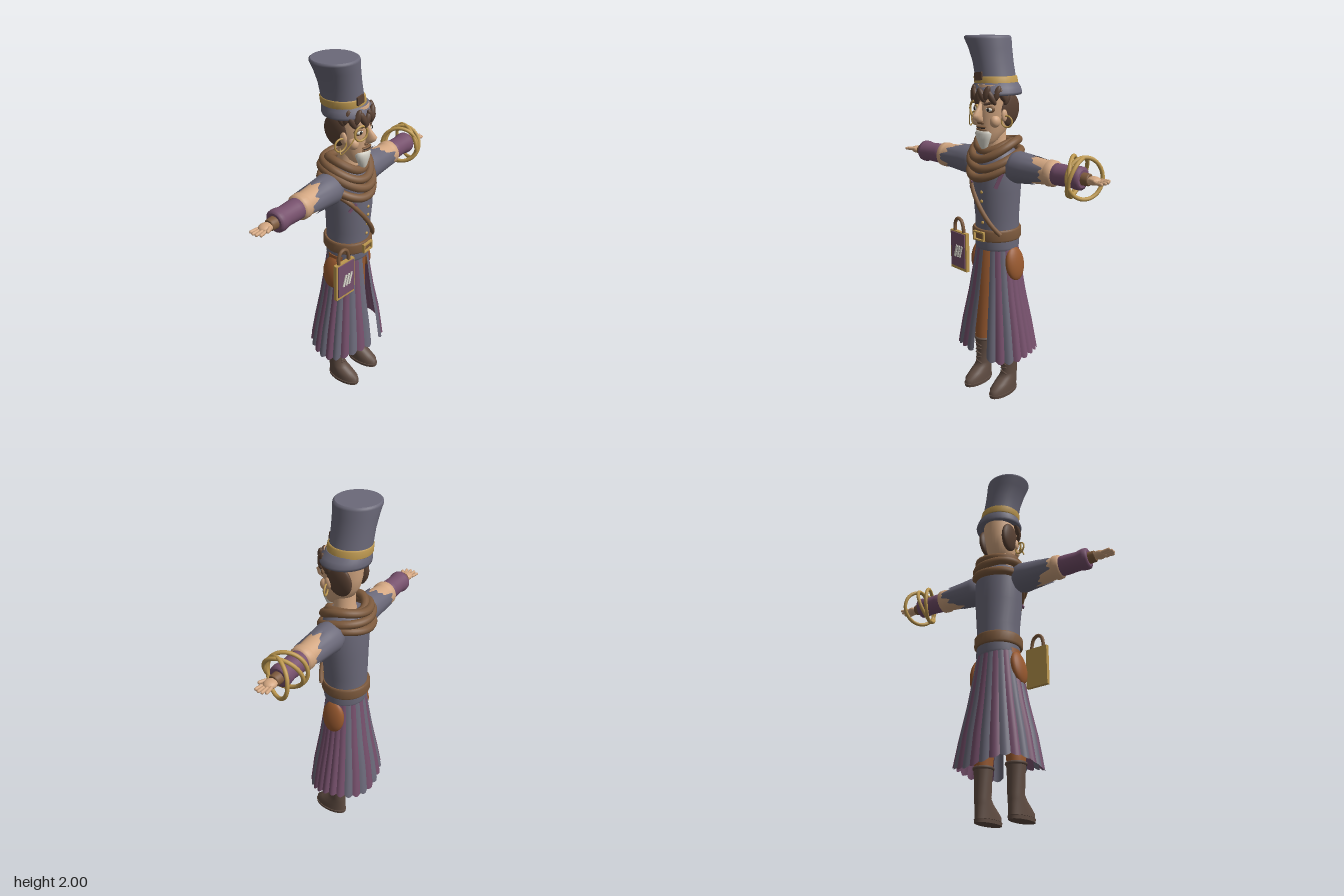
import * as THREE from 'three';

const mat = (name, color, side = THREE.FrontSide) => {
  const m = new THREE.MeshStandardMaterial({ color, side });
  m.name = name;
  return m;
};

// Smooth solid through elliptical rings [y, cx, cz, rx, rz]; y may be a function of the angle
function loft(rings, seg = 32, caps = true) {
  const pos = [], idx = [];
  const addRing = ([y, cx, cz, rx, rz]) => {
    const start = pos.length / 3;
    for (let j = 0; j < seg; j++) {
      const a = (j / seg) * Math.PI * 2;
      pos.push(cx + rx * Math.cos(a), typeof y === 'function' ? y(a) : y, cz + rz * Math.sin(a));
    }
    return start;
  };
  rings.forEach((r, i) => {
    const s = addRing(r);
    if (!i) return;
    for (let j = 0; j < seg; j++) {
      const k = (j + 1) % seg, p = s - seg;
      idx.push(p + j, s + j, p + k, p + k, s + j, s + k);
    }
  });
  if (caps) [rings[0], rings[rings.length - 1]].forEach((r, top) => {
    const s = addRing(r), c = pos.length / 3;
    pos.push(r[1], r[0], r[2]);
    for (let j = 0; j < seg; j++) {
      const k = (j + 1) % seg;
      if (top) idx.push(c, s + k, s + j); else idx.push(c, s + j, s + k);
    }
  });
  const g = new THREE.BufferGeometry();
  g.setAttribute('position', new THREE.Float32BufferAttribute(pos, 3));
  g.setIndex(idx);
  g.computeVertexNormals();
  return g;
}
const round = (list) => list.map(([y, r]) => [y, 0, 0, r, r]);
const tube = (pts, r, closed = false, n = 48) =>
  new THREE.TubeGeometry(new THREE.CatmullRomCurve3(pts.map((p) => new THREE.Vector3(...p)), closed), n, r, 10, closed);

export function createModel() {
  const grey = mat('slateCloth', 0x6b6979, THREE.DoubleSide);
  const purple = mat('plumCloth', 0x76506c, THREE.DoubleSide);
  const skin = mat('skin', 0xd2a681);
  const bootBrown = mat('bootLeather', 0x5f4c42);
  const rust = mat('rustCloth', 0x98592f);
  const leather = mat('tanLeather', 0x7d5a3d);
  const gold = mat('brass', 0xbd984f);
  const ivory = mat('ivory', 0xdedbd0);
  const hair = mat('hair', 0x5a4234);
  const dark = mat('dark', 0x2b2422);

  const model = new THREE.Group();
  const add = (name, geo, material, p = [0, 0, 0], rot = [0, 0, 0], sc = [1, 1, 1], parent = model) => {
    const m = new THREE.Mesh(geo, material);
    m.name = name;
    m.position.set(...p);
    m.rotation.set(...rot);
    m.scale.set(...sc);
    parent.add(m);
    return m;
  };
  const ball = new THREE.SphereGeometry(1, 24, 16);
  const box = new THREE.BoxGeometry(1, 1, 1);

  // Legs and laced boots
  for (const s of [-1, 1]) {
    const x = s * 0.098;
    add('trouserLeg', loft([[0.26, x, 0, 0.046, 0.05], [0.32, x, 0, 0.052, 0.055], [0.6, s * 0.075, 0, 0.058, 0.062],
      [0.9, s * 0.06, 0, 0.06, 0.075]], 20), rust);
    add('bootSole', loft([[0, x, 0.05, 0.05, 0.105], [0.018, x, 0.05, 0.052, 0.108]]), bootBrown);
    add('boot', loft([[0.02, x, 0.05, 0.049, 0.104], [0.045, x, 0.048, 0.049, 0.102], [0.07, x, 0.03, 0.047, 0.083],
      [0.095, x, 0.01, 0.044, 0.062], [0.12, x, -0.003, 0.042, 0.05], [0.2, x, -0.002, 0.045, 0.048],
      [0.275, x, 0, 0.051, 0.052]]), bootBrown);
    add('bootCuff', new THREE.TorusGeometry(0.049, 0.009, 10, 32), bootBrown, [x, 0.275, 0], [Math.PI / 2, 0, 0]);
    for (let i = 0; i < 5; i++)
      add('bootLace', new THREE.CapsuleGeometry(0.005, 0.035, 4, 8), bootBrown, [x, 0.125 + i * 0.028, 0.047], [0, 0, Math.PI / 2 + (i % 2 ? 0.25 : -0.25)]);
  }

  // Pleated skirt, open at the front over the left leg
  const profile = [[0.9, 0.118, 0.106], [0.75, 0.143, 0.124], [0.6, 0.17, 0.143], [0.42, 0.21, 0.172], [0.27, 0.238, 0.19]];
  const panels = 25, step = (338 / panels) * Math.PI / 180, a0 = 93 * Math.PI / 180;
  for (let i = 0; i < panels; i++) {
    const pos = [], idx = [], n = 6;
    profile.forEach(([y, rx, rz], r) => {
      for (let j = 0; j <= n; j++) {
        const a = a0 + (i + j / n) * step;
        const k = 1 + 0.05 * Math.sin((j / n) * Math.PI) * (r + 1) / 5;
        const hem = r === 4 ? 0.022 * Math.cos(3 * a + 0.6) - 0.012 * Math.sin((j / n) * Math.PI) : 0;
        pos.push(0.006 + rx * k * Math.cos(a), y + hem, -0.003 + rz * k * Math.sin(a));
        if (r && j < n) {
          const q = r * (n + 1) + j, p = q - n - 1;
          idx.push(q, p, q + 1, q + 1, p, p + 1);
        }
      }
    });
    const g = new THREE.BufferGeometry();
    g.setAttribute('position', new THREE.Float32BufferAttribute(pos, 3));
    g.setIndex(idx);
    g.computeVertexNormals();
    const mid = a0 + (i + 0.5) * step;
    add('skirtPleat', g, i % 2 || Math.cos(mid) > 0.93 ? purple : grey);
  }
  for (const s of [-1, 1])
    add('hipPatch', ball, rust, [0.006 + s * 0.128, 0.79, -0.003], [0, 0, s * 0.16], [0.034, 0.098, 0.068]);

  // Torso, belt and waistcoat details
  add('torso', loft([[0.87, 0.008, 0, 0.118, 0.113], [0.885, 0.008, 0, 0.125, 0.12], [0.93, 0.008, 0, 0.12, 0.118], [1.05, 0.008, 0, 0.12, 0.122],
    [1.2, 0.008, 0.005, 0.135, 0.127], [1.33, 0.005, 0, 0.14, 0.125], [1.4, 0, 0, 0.125, 0.112], [1.43, 0, 0, 0.08, 0.08]]), grey);
  add('belt', loft([[0.925, 0.006, 0, 0.128, 0.13], [0.935, 0.006, 0, 0.134, 0.137], [0.98, 0.006, 0, 0.134, 0.137], [0.99, 0.006, 0, 0.127, 0.13]]), leather);
  for (const y of [-1, 1]) add('buckleBar', box, gold, [0.0, 0.956 + y * 0.022, 0.141], [0, 0, 0], [0.075, 0.008, 0.014]);
  for (const x of [-1, 1]) add('buckleSide', box, gold, [x * 0.034, 0.956, 0.139], [0, 0, 0], [0.008, 0.05, 0.016]);
  for (const y of [1.03, 1.09, 1.15, 1.2]) add('button', ball, gold, [0.012, y, y > 1.1 ? 0.131 : 0.124], [0, 0, 0], [0.009, 0.009, 0.006]);
  const strap = [];
  for (let i = 0; i <= 10; i++) {
    const t = i / 10, x = -0.125 + 0.235 * t, y = 1.29 - 0.32 * t;
    strap.push([x, y, 0.005 + (0.133 - t * 0.005) * Math.sqrt(Math.max(0, 1 - ((x - 0.008) / 0.138) ** 2))]);
  }
  add('shoulderStrap', tube(strap, 0.013), leather);
  add('lapel', box, purple, [-0.088, 1.225, 0.104], [0, -0.62, -0.7], [0.014, 0.06, 0.009]);
  add('lapel', box, purple, [0.105, 1.27, 0.098], [0, 0.75, -0.4], [0.02, 0.09, 0.009]);

  // Coiled scarf, hanging lower at the front
  [[1.415, 1.445, 0.098, 0.095], [1.375, 1.45, 0.122, 0.122], [1.325, 1.41, 0.136, 0.134], [1.275, 1.355, 0.138, 0.137]].forEach(([front, back, rx, rz], n) => {
    const pts = [];
    for (let i = 0; i < 16; i++) {
      const a = (i / 16) * Math.PI * 2, s = Math.sin(a);
      const y = (front + back) / 2 + s * (front - back) / 2 + 0.035 * Math.cos(a) ** 2 + (n % 2 ? 0.012 : -0.008) * Math.cos(a);
      pts.push([-0.004 + rx * Math.cos(a), y, rz * s]);
    }
    add('scarfCoil', tube(pts, 0.023, true, 64), leather);
  });

  // Arms, built along +x and turned round for the other side
  for (const s of [-1, 1]) {
    const arm = new THREE.Group();
    arm.name = s > 0 ? 'leftArm' : 'rightArm';
    arm.position.y = 1.335;
    if (s < 0) arm.rotation.y = Math.PI;
    model.add(arm);
    const along = [0, 0, -Math.PI / 2], o = [0, 0, 0], one = [1, 1, 1];
    const jag = (a) => 0.305 - 0.05 * Math.cos(2 * a) + 0.014 * Math.sin(7 * a) + 0.012 * Math.sin(13 * a);
    add('bareArm', loft(round([[0.13, 0.07], [0.25, 0.071], [0.355, 0.062], [0.365, 0.069], [0.395, 0.067], [0.405, 0.05]])), skin, o, along, one, arm);
    add('tornSleeve', loft([...round([[0.11, 0.055], [0.125, 0.076], [0.16, 0.085], [0.22, 0.079]]), [jag, 0, 0, 0.073, 0.073]], 72, false), grey, o, along, one, arm);
    add('cuff', loft(round([[0.393, 0.045], [0.397, 0.055], [0.43, 0.056], [0.5, 0.053], [0.54, 0.06], [0.56, 0.058], [0.567, 0.045]])), purple, o, along, one, arm);
    add('wristBand', loft(round([[0.56, 0.033], [0.6, 0.031], [0.605, 0.026]])), leather, o, along, one, arm);
    add('palm', ball, skin, [0.627, 0, 0], o, [0.037, 0.022, 0.034], arm);
    for (let i = 0; i < 4; i++) {
      const z = (i - 1.5) * 0.018;
      add('finger', new THREE.CapsuleGeometry(0.0085, 0.05 - Math.abs(i - 1.5) * 0.008, 4, 10), skin, [0.678 - Math.abs(i - 1.5) * 0.004, 0.002 - i * 0.002, z * 1.1], [0, -(i - 1.5) * 0.1, -Math.PI / 2], one, arm);
    }
    add('thumb', new THREE.CapsuleGeometry(0.009, 0.035, 4, 10), skin, [0.64, 0.008, s * 0.034], [0, -s * 0.45, -Math.PI / 2], one, arm);
  }

  // Loose bangles on the left wrist
  [[0.502, 0.42, 0.0], [0.53, 0.2, -0.3], [0.575, -0.42, 0.15]].forEach(([x, turn, tilt]) =>
    add('bangle', new THREE.TorusGeometry(0.102, 0.0105, 10, 48), gold, [x, 1.338, 0], [0, Math.PI / 2 + turn, tilt, 'ZYX']));

  // Neck, head and face
  add('neck', loft([[1.39, 0, 0.005, 0.075, 0.07], [1.45, 0, 0.01, 0.062, 0.057], [1.54, 0, 0.015, 0.062, 0.06]]), skin);
  add('head', loft([[1.455, 0.002, 0.07, 0.03, 0.03], [1.475, 0.002, 0.06, 0.05, 0.055], [1.52, 0.003, 0.038, 0.07, 0.084], [1.57, 0.003, 0.024, 0.083, 0.1],
    [1.63, 0.003, 0.019, 0.091, 0.108], [1.7, 0.003, 0.015, 0.094, 0.11], [1.76, 0.003, 0.01, 0.09, 0.105]]), skin);
  add('nose', loft([[1.575, 0.003, 0.13, 0.014, 0.02], [1.59, 0.003, 0.143, 0.022, 0.028], [1.612, 0.003, 0.148, 0.018, 0.034],
    [1.64, 0.003, 0.128, 0.012, 0.024], [1.675, 0.003, 0.115, 0.009, 0.014]], 16), skin);
  add('moustache', new THREE.CapsuleGeometry(0.008, 0.03, 4, 10), leather, [0.003, 1.568, 0.126], [0, 0, Math.PI / 2]);
  for (const y of [1.533, 1.547]) add('lip', ball, leather, [0.003, y, 0.121], [0, 0, 0], [0.036, 0.006, 0.014]);
  add('mouth', ball, dark, [0.003, 1.54, 0.124], [0, 0, 0], [0.03, 0.003, 0.01]);
  add('beard', loft([[1.408, 0.004, 0.097, 0.003, 0.003], [1.44, 0.002, 0.1, 0.022, 0.02], [1.48, 0, 0.1, 0.043, 0.03], [1.51, 0, 0.098, 0.053, 0.036],
    [1.524, 0, 0.098, 0.045, 0.028]], 20), ivory);
  for (const s of [-1, 1]) {
    const x = 0.003 + s * 0.046;
    add('eyeSocket', ball, leather, [x, 1.638, 0.104], [0, s * 0.4, 0], [0.028, 0.02, 0.012]);
    add('eye', ball, ivory, [x, 1.637, 0.108], [0, s * 0.4, 0], [0.02, 0.012, 0.013]);
    add('pupil', ball, dark, [x, 1.637, 0.118], [0, 0, 0], [0.008, 0.009, 0.006]);
    add('eyebrow', new THREE.CapsuleGeometry(0.007, 0.04, 4, 8), hair, [x, 1.668, 0.115], [0, s * 0.4, Math.PI / 2 + s * 0.2]);
    add('cheek', ball, skin, [0.003 + s * 0.062, 1.575, 0.082], [0, 0, 0], [0.026, 0.032, 0.03]);
    add('sideHair', ball, hair, [0.003 + s * 0.078, 1.628, -0.013], [0, 0, -s * 0.08], [0.026, 0.086, 0.073]);
    add('ear', ball, skin, [0.003 + s * 0.093, 1.605, 0.045], [0, 0, 0], [0.012, 0.032, 0.02]);
    const r = s > 0 ? 0.029 : 0.034;
    add('earring', new THREE.TorusGeometry(r, 0.005, 8, 32), gold, [s * 0.113, 1.575, 0.045], [0, s * 0.3, 0]);
  }
  add('monocle', new THREE.TorusGeometry(0.038, 0.006, 8, 36), gold, [-0.046, 1.635, 0.122], [0, -0.3, 0]);
  add('monocleChain', tube([[-0.08, 1.625, 0.112], [-0.11, 1.57, 0.09], [-0.13, 1.535, 0.06], [-0.118, 1.56, 0.045]], 0.003), gold);

  // Curly fringe under the hat
  for (let i = 0; i < 12; i++) {
    const a = (10 + i * 14.5) * Math.PI / 180, low = i % 3 === 0 ? 0.02 : i % 2 ? 0.008 : 0;
    add('fringeCurl', ball, hair, [0.003 + 0.104 * Math.cos(a), 1.718 - low, 0.015 + 0.116 * Math.sin(a)],
      [0, Math.PI / 2 - a, (i % 2 ? 0.5 : -0.35)], [0.018, 0.042, 0.017]);
  }

  // Leaning top hat
  add('hatBrim', loft([[1.722, 0.004, 0, 0.108, 0.11], [1.708, 0.004, 0, 0.133, 0.128], [1.722, 0.003, 0, 0.137, 0.131], [1.745, 0, -0.005, 0.127, 0.124],
    [1.768, -0.008, -0.01, 0.112, 0.112]]), grey);
  add('hatCrown', loft([[1.755, -0.01, -0.015, 0.106, 0.11], [1.8, -0.02, -0.016, 0.104, 0.11], [1.87, -0.036, -0.017, 0.104, 0.111], [1.94, -0.057, -0.018, 0.114, 0.116],
    [1.985, -0.073, -0.018, 0.125, 0.122], [1.995, -0.075, -0.018, 0.123, 0.12], [2.0, -0.076, -0.018, 0.116, 0.113]], 40), grey);
  add('hatBand', loft([[1.758, -0.01, -0.014, 0.11, 0.114], [1.762, -0.011, -0.014, 0.114, 0.118], [1.795, -0.018, -0.015, 0.112, 0.117], [1.8, -0.019, -0.015, 0.106, 0.111]]), gold);
  add('hatPatch', box, hair, [-0.03, 1.8, 0.103], [0, 0, 0.12], [0.052, 0.042, 0.009]);

  // Hanging book with a looped handle
  const book = new THREE.Group();
  book.name = 'book';
  book.position.set(-0.174, 0.826, 0.112);
  book.rotation.set(0, -0.12, 0.0);
  model.add(book);
  const put = (name, m, p, sc, rot = [0, 0, 0]) => add(name, box, m, p, rot, sc, book);
  put('bookCover', gold, [0, 0, 0], [0.138, 0.226, 0.022]);
  put('bookPanel', purple, [0, 0.006, 0.013], [0.118, 0.2, 0.008]);
  for (let i = -1; i <= 1; i++) put('bookStripe', ivory, [0.008 + i * 0.021, 0, 0.019], [0.012, 0.072, 0.006], [0, 0, -0.3]);
  add('bookHandle', tube([[-0.04, 0.1, 0], [-0.04, 0.15, 0], [-0.025, 0.18, 0], [-0.005, 0.187, 0], [0.018, 0.175, 0], [0.032, 0.14, 0], [0.035, 0.1, 0]], 0.01),
    leather, [0, 0, 0], [0, 0, 0], [1, 1, 1], book);

  return model;
}
